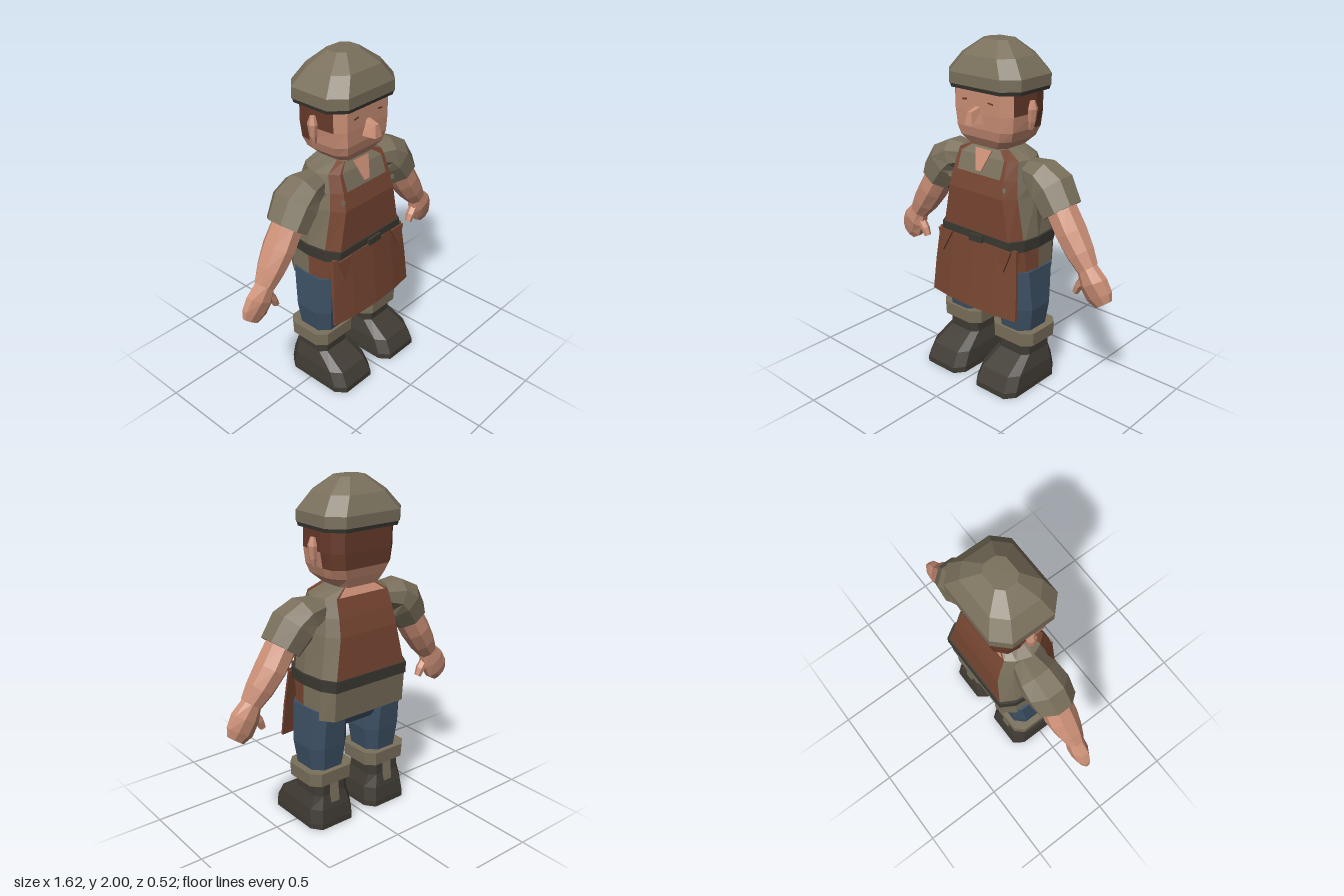
import * as THREE from 'three';

const mat = (name, hex) => {
  const m = new THREE.MeshStandardMaterial({ color: hex });
  m.name = name;
  return m;
};

export function createModel() {
  const skin = mat('skin', 0xcb8f76);
  const cloth = mat('shirt cloth', 0x7a705c);
  const apron = mat('apron leather', 0x774632);
  const hairMat = mat('hair', 0x673b2a);
  const denim = mat('denim', 0x3d5165);
  const boot = mat('boot leather', 0x403b34);
  const dark = mat('dark strap', 0x3b3831);

  const root = new THREE.Group();
  const V = (x, y, z) => new THREE.Vector3(x, y, z);

  // Faceted skin over closed rings (bottom to top), optionally coloured per face
  function loft(name, rings, mats, pick = () => 0, parent = root) {
    const list = [].concat(mats);
    const buckets = list.map(() => []);
    const n = rings[0].length;
    const tri = (m, ...ps) => ps.forEach(p => buckets[m].push(p.x, p.y, p.z));
    for (let b = 0; b < rings.length - 1; b++) {
      for (let i = 0; i < n; i++) {
        const j = (i + 1) % n, L = rings[b], U = rings[b + 1];
        const m = pick(b, i < n / 2 ? i : n - 2 - i); // same index on both sides, -1 = front
        tri(m, L[i], L[j], U[j]);
        tri(m, L[i], U[j], U[i]);
      }
    }
    [[rings[0], true], [rings[rings.length - 1], false]].forEach(([r, low]) => {
      const c = r.reduce((s, p) => s.add(p), V(0, 0, 0)).divideScalar(n);
      for (let i = 0; i < n; i++) {
        const a = r[i], d = r[(i + 1) % n];
        if (low) tri(0, c, d, a); else tri(0, c, a, d);
      }
    });
    const g = new THREE.BufferGeometry();
    g.setAttribute('position', new THREE.Float32BufferAttribute(buckets.flat(), 3));
    let start = 0;
    buckets.forEach((p, k) => { g.addGroup(start, p.length / 3, k); start += p.length / 3; });
    g.computeVertexNormals();
    const mesh = new THREE.Mesh(g, list.length > 1 ? list : list[0]);
    mesh.name = name;
    parent.add(mesh);
    return mesh;
  }

  // Ring mirrored across x from its +x half, listed front to back
  const mirrorRing = (y, half) => [
    ...half.map(([x, z]) => V(x, y, z)),
    ...half.slice().reverse().map(([x, z]) => V(-x, y, z)),
  ];
  // Rectangle with cut corners
  const oct = (y, hw, zf, zb, cx = 0.05, cz = cx) =>
    mirrorRing(y, [[hw - cx, zf], [hw, zf - cz], [hw, zb + cz], [hw - cx, zb]]);

  function box(name, size, pos, m, rx = 0, rz = 0) {
    const mesh = new THREE.Mesh(new THREE.BoxGeometry(...size), m);
    mesh.position.set(...pos);
    mesh.rotation.set(rx, 0, rz);
    mesh.name = name;
    root.add(mesh);
    return mesh;
  }

  // Limb along a path of [x, y, z, radius, depth radius], listed from low to high
  function limb(name, path, s, m, sides = 8) {
    const pts = path.map(p => V(p[0] * s, p[1], p[2]));
    const rings = pts.map((p, i) => {
      const d = pts[Math.min(i + 1, pts.length - 1)].clone().sub(pts[Math.max(i - 1, 0)]);
      const u = V(d.y, -d.x, 0).normalize();
      return Array.from({ length: sides }, (_, k) => {
        const a = ((k + 0.5) / sides) * Math.PI * 2;
        return p.clone().addScaledVector(u, Math.sin(a) * path[i][3])
          .add(V(0, 0, Math.cos(a) * path[i][4]));
      });
    });
    return loft(name, rings, m);
  }

  // Torso: columns y, inner x, flat edge x, corner x, widest x, front z, back z, corner depth
  const torsoRing = ([y, xi, xa, xb, hw, zf, zb, cz]) => mirrorRing(y, [
    [xi, zf], [xa, zf], [xb, zf - cz], [hw, -0.03], [xb, zb + cz], [xa, zb], [xi, zb]]);
  const torso = [
    [0.69, 0.15, 0.25, 0.30, 0.315, 0.125, -0.235, 0.07],
    [0.90, 0.15, 0.25, 0.295, 0.31, 0.157, -0.25, 0.08],
    [1.17, 0.16, 0.20, 0.25, 0.285, 0.155, -0.225, 0.07],
    [1.27, 0.16, 0.19, 0.235, 0.28, 0.13, -0.20, 0.06],
    [1.37, 0.16, 0.18, 0.22, 0.25, 0.095, -0.165, 0.05],
    [1.415, 0.10, 0.11, 0.125, 0.13, 0.06, -0.14, 0.04]];
  loft('shirtAndBib', torso.map(torsoRing), [cloth, apron, skin], (b, k) => {
    if (b === 0) return k <= 2 ? 1 : 0;
    if (b === 4) return k === 6 ? 2 : k === 0 || k === 1 || k === 5 ? 1 : 0;
    if (b === 3 && k === -1) return 0;
    return k <= 1 || k >= 5 ? 1 : 0;
  });
  loft('belt', [0.87, 0.935].map(y =>
    torsoRing([y, 0.15, 0.255, 0.303, 0.318, 0.164, -0.256, 0.08])), dark);
  box('beltKnot', [0.1, 0.04, 0.02], [0.02, 0.905, 0.172], dark, 0, 0.05);

  // Open collar
  const vee = new THREE.Shape([[-0.06, 1.415], [-0.02, 1.29], [0.02, 1.29], [0.06, 1.415]]
    .map(([x, y]) => new THREE.Vector2(x, y - 1.27)));
  const collar = new THREE.Mesh(
    new THREE.ExtrudeGeometry(vee, { depth: 0.008, bevelEnabled: false }), skin);
  collar.name = 'openCollar';
  collar.position.set(0, 1.27, 0.132);
  collar.rotation.x = -0.38;
  root.add(collar);

  // Apron skirt: a bowed, flaring panel
  const panel = (y, hw, z, bow, t) => {
    const us = [-1, -0.55, 0, 0.55, 1];
    return [...us.map(u => V(u * hw, y, z - bow * u * u)),
      ...us.reverse().map(u => V(u * hw, y, z - bow * u * u - t))];
  };
  loft('apronSkirt', [panel(0.48, 0.325, 0.215, 0.03, 0.015),
    panel(0.68, 0.315, 0.196, 0.03, 0.015), panel(0.89, 0.295, 0.175, 0.03, 0.015)], apron);

  // Pelvis, neck and head
  loft('pelvis', [oct(0.6, 0.14, 0.06, -0.14), oct(0.74, 0.28, 0.1, -0.2)], denim);
  loft('neck', [oct(1.38, 0.11, 0.05, -0.135), oct(1.46, 0.11, 0.05, -0.135)], skin);
  const head = [
    [1.42, 0.09, 0.125, 0.13, 0.10, 0.08, -0.17],
    [1.475, 0.14, 0.185, 0.195, 0.13, 0.115, -0.19],
    [1.53, 0.155, 0.205, 0.215, 0.15, 0.128, -0.208],
    [1.62, 0.16, 0.215, 0.23, 0.16, 0.132, -0.213],
    [1.70, 0.16, 0.215, 0.23, 0.16, 0.132, -0.213],
    [1.76, 0.16, 0.215, 0.23, 0.16, 0.132, -0.213]];
  loft('headAndHair', head.map(([y, xf, xc, xw, xb, zf, zb]) => mirrorRing(y,
    [[xf, zf], [xc, zf - 0.05], [xw, -0.09], [xc, zb + 0.05], [xb, zb]])),
  [skin, hairMat], (b, k) => (b >= 3 && k >= 1) || (b === 2 && k >= 2) ? 1 : 0);
  const noseRing = (y, hw, z) => [V(-hw, y, 0.12), V(-hw * 0.6, y, z), V(hw * 0.6, y, z), V(hw, y, 0.12)];
  loft('nose', [noseRing(1.565, 0.045, 0.208), noseRing(1.635, 0.022, 0.195),
    noseRing(1.655, 0.018, 0.135)], skin);

  // Cap with dark lining
  loft('capLining', [oct(1.74, 0.255, 0.152, -0.245, 0.08), oct(1.765, 0.26, 0.158, -0.25, 0.08)], dark);
  loft('cap', [oct(1.762, 0.262, 0.16, -0.252, 0.08), oct(1.825, 0.262, 0.16, -0.252, 0.08),
    oct(1.92, 0.19, 0.115, -0.2, 0.07), oct(2.0, 0.085, 0.025, -0.115, 0.035)], cloth);

  for (const s of [1, -1]) {
    const side = s > 0 ? 'left' : 'right';

    // Face and bib details
    limb(side + 'Ear', [[0.232, 1.535, -0.04, 0.012, 0.012], [0.24, 1.58, -0.04, 0.02, 0.024],
      [0.245, 1.65, -0.04, 0.024, 0.032], [0.24, 1.695, -0.04, 0.014, 0.016]], s, skin, 6);
    box(side + 'Eye', [0.035, 0.008, 0.006], [s * 0.095, 1.683, 0.132], hairMat, 0, s * -0.15);
    box(side + 'Button', [0.022, 0.022, 0.009], [s * 0.205, 1.225, 0.142], cloth, -0.25);
    const tie = new THREE.Mesh(new THREE.ExtrudeGeometry(new THREE.Shape([
      new THREE.Vector2(-0.055, 0.13), new THREE.Vector2(s * 0.01, 0), new THREE.Vector2(0.055, 0.13)]),
    { depth: 0.012, bevelEnabled: false }), apron);
    tie.name = side + 'TieEnd';
    tie.position.set(s * 0.225, 0.76, 0.176);
    tie.rotation.x = -0.09;
    root.add(tie);

    // Sleeve, arm, hand and thumb
    limb(side + 'Sleeve', [[0.463, 1.127, -0.035, 0.118, 0.125], [0.385, 1.235, -0.045, 0.132, 0.138],
      [0.32, 1.285, -0.05, 0.105, 0.125], [0.22, 1.3, -0.05, 0.075, 0.09]], s, cloth);
    limb(side + 'Arm', [[0.655, 0.845, -0.025, 0.064, 0.058], [0.6, 0.92, -0.03, 0.082, 0.08],
      [0.53, 1.02, -0.035, 0.09, 0.096], [0.44, 1.16, -0.035, 0.09, 0.09]], s, skin);
    limb(side + 'Hand', [[0.765, 0.665, -0.03, 0.06, 0.026], [0.735, 0.705, -0.03, 0.088, 0.042],
      [0.695, 0.775, -0.025, 0.088, 0.056], [0.645, 0.86, -0.025, 0.056, 0.05]], s, skin);
    limb(side + 'Thumb', [[0.585, 0.685, -0.02, 0.02, 0.022], [0.605, 0.73, -0.02, 0.026, 0.03],
      [0.65, 0.79, -0.02, 0.028, 0.03]], s, skin, 6);

    // Trouser leg, cuff and boot
    const leg = new THREE.Group();
    leg.name = side + 'Leg';
    leg.position.x = s * 0.203;
    root.add(leg);
    loft('trouserLeg', [oct(0.33, 0.108, 0.085, -0.15), oct(0.5, 0.132, 0.105, -0.17, 0.06),
      oct(0.74, 0.115, 0.11, -0.19, 0.05)], denim, undefined, leg);
    loft('cuff', [oct(0.278, 0.15, 0.103, -0.183), oct(0.36, 0.153, 0.105, -0.186)], cloth, undefined, leg);
    loft('boot', [oct(0, 0.152, 0.26, -0.195, 0.045, 0.06), oct(0.035, 0.152, 0.26, -0.195, 0.045, 0.06),
      oct(0.12, 0.142, 0.215, -0.185, 0.045, 0.06), oct(0.2, 0.114, 0.075, -0.165, 0.035),
      oct(0.3, 0.112, 0.075, -0.165, 0.035)], boot, undefined, leg);
    box(side + 'HeelPatch', [0.06, 0.14, 0.008], [s * 0.203, 0.2, -0.169], cloth, 0.1);
  }
  return root;
}
